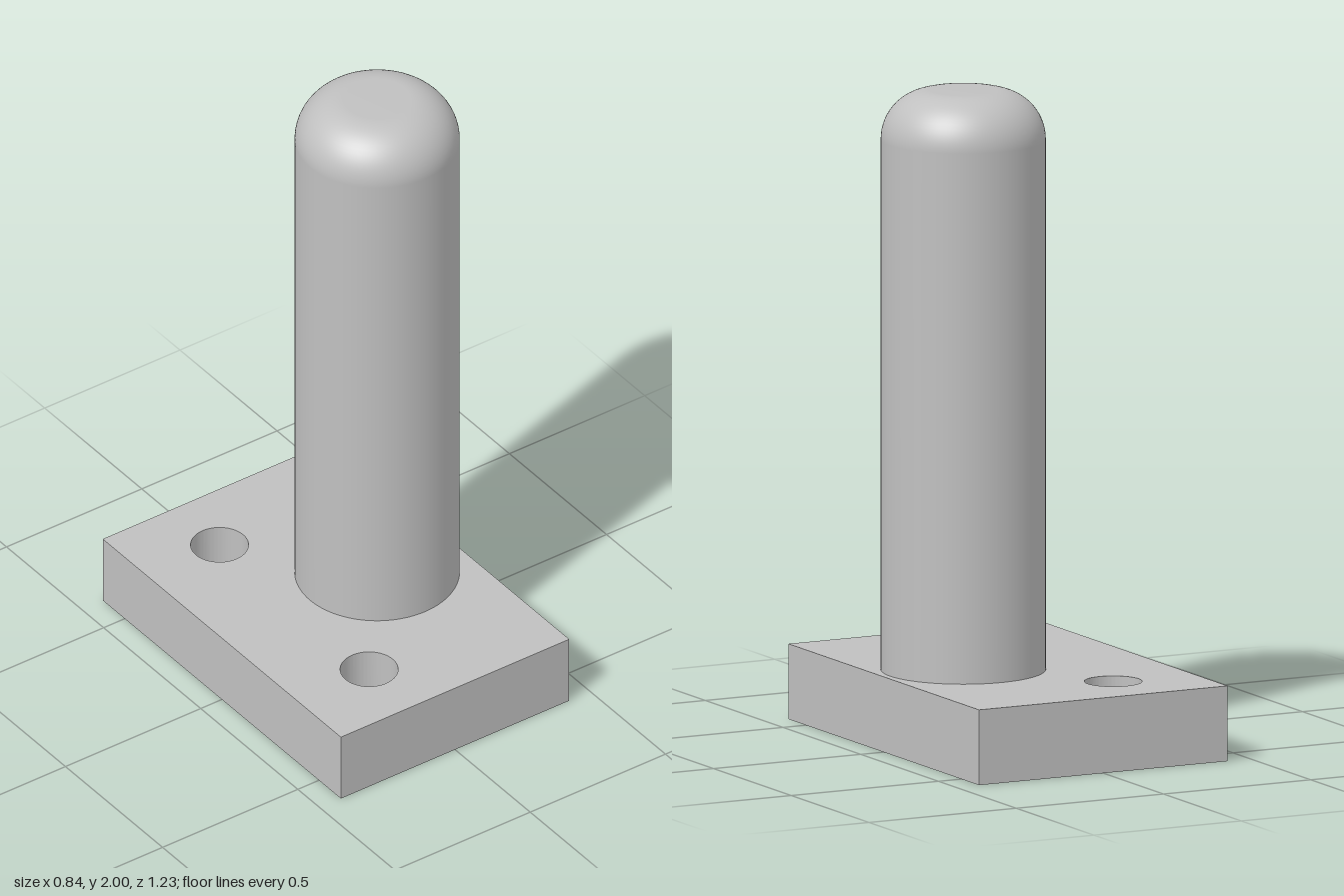
import * as THREE from 'three';
import { toCreasedNormals } from 'three/addons/utils/BufferGeometryUtils.js';

const PLATE = { halfX: 0.422, halfZ: 0.613, height: 0.23 };
const HOLE = { x: -0.154, z: 0.385, radius: 0.087 };
const POST = { x: 0.152, radius: 0.248, top: 2, fillet: 0.15 };

// Rectangular plate with two through holes, extruded upwards
function createPlate(material) {
  const { halfX, halfZ, height } = PLATE;
  const outline = new THREE.Shape([
    new THREE.Vector2(-halfX, -halfZ),
    new THREE.Vector2(halfX, -halfZ),
    new THREE.Vector2(halfX, halfZ),
    new THREE.Vector2(-halfX, halfZ),
  ]);
  for (const side of [-1, 1]) {
    const hole = new THREE.Path();
    hole.absarc(HOLE.x, side * HOLE.z, HOLE.radius, 0, Math.PI * 2, true);
    outline.holes.push(hole);
  }
  const geometry = new THREE.ExtrudeGeometry(outline, {
    depth: height, bevelEnabled: false, curveSegments: 48,
  });
  geometry.rotateX(-Math.PI / 2);
  const plate = new THREE.Mesh(toCreasedNormals(geometry, 0.6), material);
  plate.name = 'basePlate';
  return plate;
}

// Round post whose top edge is filleted into a small flat
function createPost(material) {
  const { x, radius, top, fillet } = POST;
  const profile = [new THREE.Vector2(radius, PLATE.height)];
  const steps = 16;
  for (let i = 0; i <= steps; i++) {
    const a = (i / steps) * Math.PI / 2;
    profile.push(new THREE.Vector2(
      radius - fillet + fillet * Math.cos(a),
      top - fillet + fillet * Math.sin(a),
    ));
  }
  profile.push(new THREE.Vector2(0, top));
  const post = new THREE.Mesh(new THREE.LatheGeometry(profile, 96), material);
  post.name = 'post';
  post.position.x = x;
  return post;
}

export function createModel() {
  const grey = new THREE.MeshStandardMaterial({ color: 0xc0c0c0 });
  grey.name = 'plain grey';
  const model = new THREE.Group();
  model.name = 'postOnPlate';
  model.add(createPlate(grey), createPost(grey));
  return model;
}
